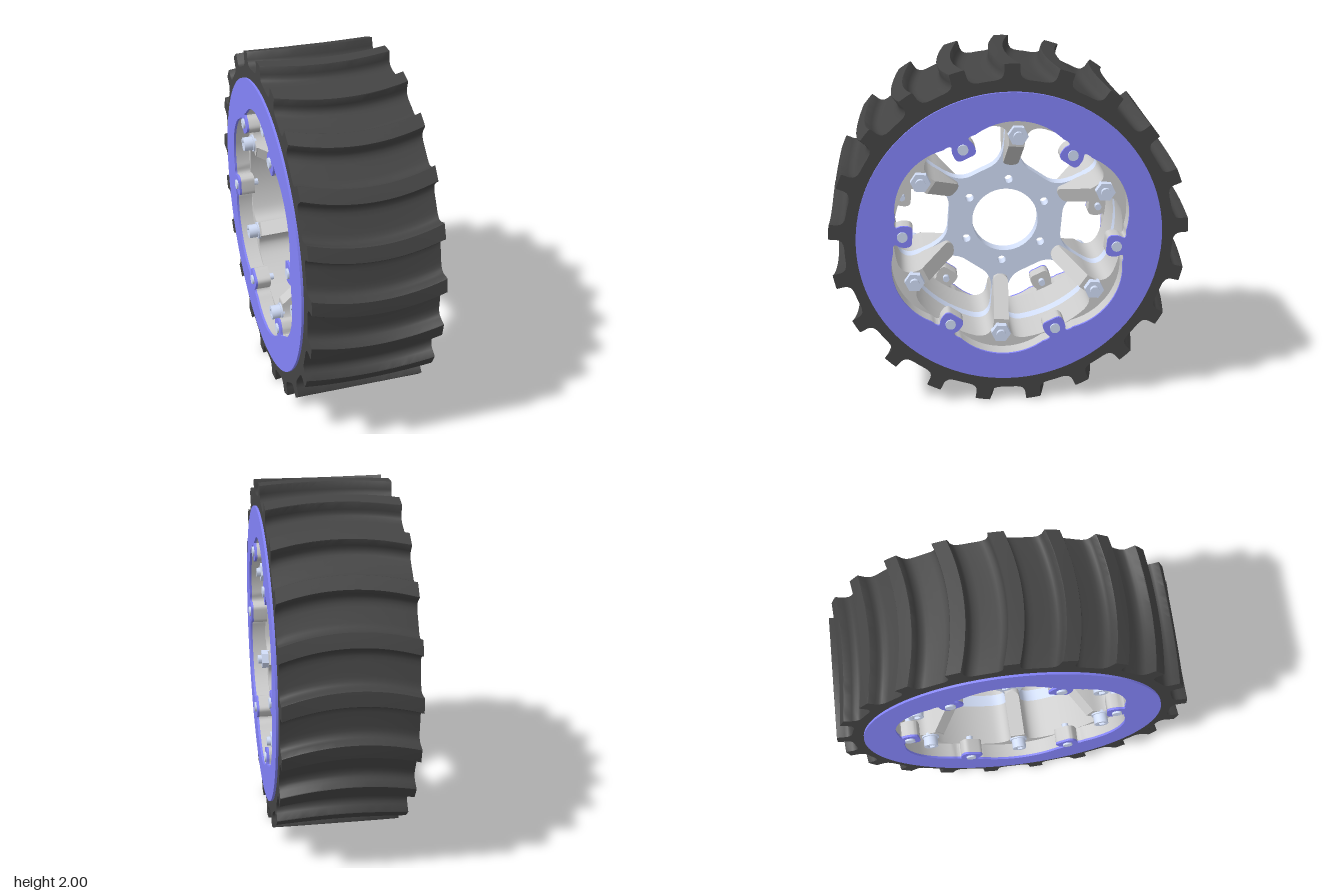
import * as THREE from 'three';
import { toCreasedNormals } from 'three/addons/utils/BufferGeometryUtils.js';

const RAD = Math.PI / 180;
const SIXTH = Math.PI / 3;
const MID = 0.035;     // half thickness of the centre plate
const SHELF = 0.282;   // height of the spoke bolt seats
const EDGE = 0.365;    // half width of the tyre
const ARM = 0.043;     // half width of a spoke

const paint = (color) => new THREE.MeshStandardMaterial({ color });
const grey = paint(0xcccccc);
const steel = paint(0xd2def8);
const blue = paint(0x8484fa);
const rubber = paint(0x444444);

const V = (x, y) => new THREE.Vector2(x, y);
const polar = (r, a) => V(r * Math.cos(a), r * Math.sin(a));
const turn = (pts, a) => pts.map((p) => p.clone().rotateAround(V(0, 0), a));
const circle = (r, n = 96, x = 0, y = 0) =>
  Array.from({ length: n }, (_, i) => polar(r, (i / n) * 2 * Math.PI).add(V(x, y)));
const quad = (a, b, c, n = 8) => new THREE.QuadraticBezierCurve(a, b, c).getPoints(n);
const flip = (pts) => pts.map((p) => V(p.x, -p.y)).reverse();
const around = (pts) => Array.from({ length: 6 }, (_, k) => turn(pts, k * SIXTH)).flat();

// Flat part with holes, from z0 to z1
function slab(outline, holes, z0, z1, steps = 1) {
  const shape = new THREE.Shape(outline);
  shape.holes = holes.map((h) => new THREE.Path(h));
  return new THREE.ExtrudeGeometry(shape, { depth: z1 - z0, steps, bevelEnabled: false }).translate(0, 0, z0);
}

function add(parent, name, geometry, material) {
  const mesh = new THREE.Mesh(toCreasedNormals(geometry, 0.6), material);
  mesh.name = name;
  parent.add(mesh);
  return mesh;
}

// Cylinder or hexagon along z at a given radius and angle
function peg(parent, name, r, z0, z1, dist, angle, sides = 20) {
  const g = new THREE.CylinderGeometry(r, r, z1 - z0, sides).rotateX(Math.PI / 2).rotateZ(angle);
  const c = polar(dist, angle);
  g.translate(c.x, c.y, (z0 + z1) / 2);
  add(parent, name, g, steel);
}

// Point beside a spoke: t along its centre line, on the side facing the opening
const beside = (t) => V(t * Math.cos(30 * RAD) + ARM * 0.5, t * 0.5 - ARM * 0.866);

// Rim end of one opening, from one spoke to the next
function openingRim() {
  const corner = [...quad(polar(0.645, 17 * RAD), polar(0.645, 26 * RAD), beside(0.54)), beside(0.52)];
  const arc = [];
  for (let d = -14; d <= 14; d += 2) arc.push(polar(0.645, d * RAD));
  return [...flip(corner), ...arc, ...corner];
}

// Hub end of one opening
function openingHub() {
  const c = quad(beside(0.45), V(0.33, 0.133), V(0.33, 0.06));
  return [...c, ...flip(c)];
}

// Inner edge of the clamp ring: six rounded tabs joined by shallow arcs
function clampEdge() {
  const tab = [
    ...quad(V(0.542, 0.03), V(0.542, 0.06), V(0.575, 0.062), 6),
    ...quad(V(0.595, 0.062), V(0.615, 0.06), V(0.625, 0.052), 4),
    ...quad(V(0.637, 0.05), V(0.65, 0.06), polar(0.649, 8.5 * RAD), 4),
  ];
  const lobe = [];
  for (let d = -20; d <= 20; d += 2) lobe.push(polar(0.692 - 0.043 * (d / 21.5) ** 2, (30 + d) * RAD));
  return around([...flip(tab), ...tab, ...lobe]);
}

// Tyre: ring of narrow lugs whose middle is swept round the axle
function tyreGeometry() {
  const count = 21, pitch = (2 * Math.PI) / count;
  const side = [[-0.1496, 0.914], [-0.105, 0.914], [-0.08, 0.917], [-0.061, 0.925], [-0.05, 0.938],
    [-0.045, 0.955], [-0.043, 0.996], [-0.04, 1]];
  const lug = [...side, [0, 1], ...side.slice(1).reverse().map(([a, r]) => [-a, r])];
  const outline = [];
  for (let i = 0; i < count; i++)
    for (const [a, r] of lug) outline.push(polar(r, 89.4 * RAD + i * pitch + a));
  const g = slab(outline, [circle(0.83)], -EDGE, EDGE, 16);
  const p = g.attributes.position;
  for (let i = 0; i < p.count; i++) {
    const sweep = 0.058 * (1 - (p.getZ(i) / EDGE) ** 2);
    const v = V(p.getX(i), p.getY(i)).rotateAround(V(0, 0), sweep);
    p.setXY(i, v.x, v.y);
  }
  return g;
}

// Sloping spoke from the hub up to its bolt seat
function spokeGeometry() {
  const t0 = 0.34, t1 = 0.525, foot = 0.028;
  const pts = [V(t1, -ARM), V(t1, ARM)];
  for (let d = 90; d <= 270; d += 15)
    pts.push(V(t0 + foot * (1 + Math.cos(d * RAD)), ARM * Math.sin(d * RAD)));
  const g = slab(pts, [], 0, 1);
  const p = g.attributes.position;
  for (let i = 0; i < p.count; i++) {
    const top = 0.05 + (SHELF - 0.05) * (p.getX(i) - t0) / (t1 - t0);
    p.setZ(i, p.getZ(i) > 0.5 ? top : MID - 0.005);
  }
  return g;
}

export function createModel() {
  const model = new THREE.Group();
  model.name = 'wheel';
  const axle = new THREE.Group();
  axle.name = 'wheelAssembly';
  axle.rotation.y = Math.PI / 2;
  axle.position.y = 1;
  model.add(axle);

  add(axle, 'tyre', tyreGeometry(), rubber);

  const rim = new THREE.Group();
  rim.name = 'rim';
  rim.rotation.z = -4.6 * RAD;
  axle.add(rim);

  // Centre plate with axle hole, stud holes and six openings
  const opening = [...openingRim(), ...openingHub()];
  const plateHoles = [circle(0.191, 48)];
  for (let k = 0; k < 6; k++) {
    const c = polar(0.25, (k + 0.5) * SIXTH);
    plateHoles.push(turn(opening, k * SIXTH), circle(0.024, 16, c.x, c.y));
  }
  add(rim, 'centrePlate', slab(circle(0.84), plateHoles, -MID, MID), steel);

  // Two matching rim halves
  const barrelEdge = around(openingRim());
  const edge = clampEdge();
  for (const turned of [0, Math.PI]) {
    const half = new THREE.Group();
    half.name = turned ? 'rightRimHalf' : 'leftRimHalf';
    half.rotation.x = turned;
    rim.add(half);
    add(half, 'barrel', slab(circle(0.84), [barrelEdge], MID, SHELF), grey);
    add(half, 'rimLip', slab(circle(0.84), [edge], SHELF, EDGE), grey);
    add(half, 'clampRing', slab(circle(0.85), [edge], EDGE, 0.378), blue);
    for (let k = 0; k < 6; k++) {
      const mid = (k + 0.5) * SIXTH;
      add(half, 'spoke', spokeGeometry(), grey).rotation.z = mid;
      peg(half, 'clampBolt', 0.029, 0.37, 0.389, 0.597, k * SIXTH);
      peg(half, 'clampBoltEnd', 0.02, 0.25, 0.3, 0.597, k * SIXTH, 12);
      // Nuts on one side, socket heads on the other
      if (!turned) {
        peg(half, 'spokeNut', 0.056, SHELF - 0.01, 0.322, 0.592, mid, 6);
        peg(half, 'spokeBoltEnd', 0.027, 0.31, 0.345, 0.592, mid);
      } else {
        peg(half, 'spokeWasher', 0.052, SHELF - 0.01, 0.291, 0.592, mid);
        const head = add(half, 'spokeBoltHead', slab(circle(0.042, 24), [circle(0.024, 6)], 0.291, 0.345), steel);
        const c = polar(0.592, mid);
        head.position.set(c.x, c.y, 0);
      }
    }
  }
  return model;
}
